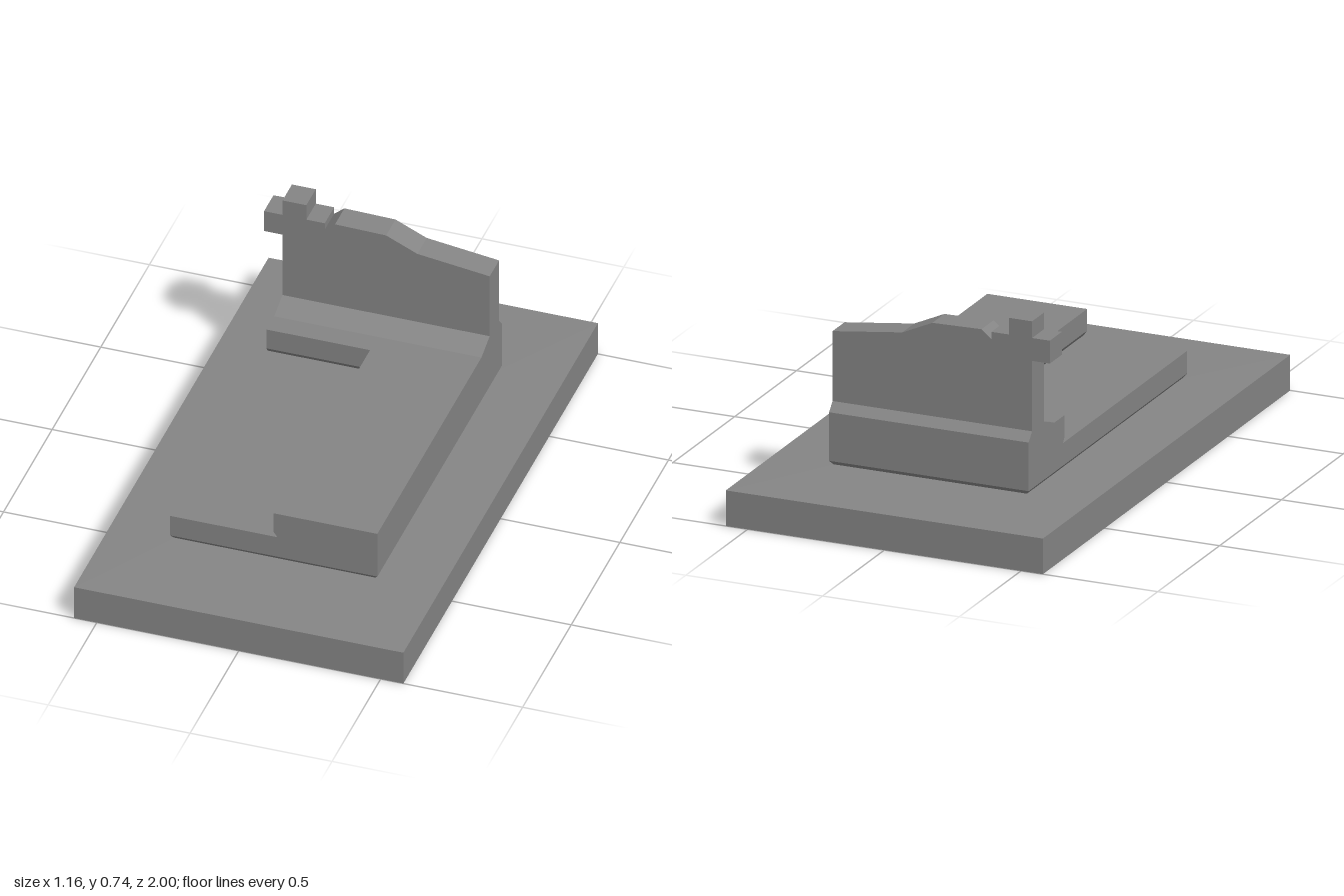
import * as THREE from 'three';

// Block lofted between two rectangles given as [x0, x1, z0, z1]
function loft(bottom, y0, top, y1) {
  const g = new THREE.BoxGeometry(1, 1, 1).toNonIndexed();
  const p = g.attributes.position;
  for (let i = 0; i < p.count; i++) {
    const up = p.getY(i) > 0;
    const r = up ? top : bottom;
    p.setXYZ(i, r[p.getX(i) > 0 ? 1 : 0], up ? y1 : y0, r[p.getZ(i) > 0 ? 3 : 2]);
  }
  g.computeVertexNormals();
  return g;
}

function extrude(points, depth) {
  const shape = new THREE.Shape(points.map(([a, b]) => new THREE.Vector2(a, b)));
  return new THREE.ExtrudeGeometry(shape, { depth, bevelEnabled: false });
}

// Side profile of [z, y] points, extruded from x0 to x1
function sideProfile(points, x0, x1) {
  return extrude(points.map(([z, y]) => [-z, y]), x1 - x0).rotateY(Math.PI / 2).translate(x0, 0, 0);
}

export function createModel() {
  const group = new THREE.Group();
  const stone = new THREE.MeshStandardMaterial({ color: 0x858585 });
  stone.name = 'grey stone';
  const add = (name, geometry) => {
    const mesh = new THREE.Mesh(geometry, stone);
    mesh.name = name;
    group.add(mesh);
  };

  // Ground slab with a barely raised top
  const slab = [-0.58, 0.58, -1, 1];
  add('groundSlab', loft(slab, 0, slab, 0.126));
  add('slabCrown', loft(slab, 0.126, [-0.355, 0.355, -0.63, 0.63], 0.131));

  // Plinth with an undercut foot; its top is the floor of the recess
  const plinth = [-0.365, 0.365, -0.64, 0.64];
  add('plinthFoot', loft([-0.353, 0.353, -0.628, 0.628], 0.13, plinth, 0.145));
  add('plinth', loft(plinth, 0.145, plinth, 0.225));

  // Undercut edge between the recess floor and the cover
  add('coverFoot', loft([0.013, 0.365, -0.64, 0.64], 0.225, [0, 0.365, -0.64, 0.64], 0.243));
  add('ledgeFoot', loft([-0.365, 0.013, -0.64, -0.363], 0.225, [-0.365, 0, -0.64, -0.35], 0.243));

  // L-shaped cover, sloping up to the headstone
  const back = [[-0.43, 0.32], [-0.515, 0.35], [-0.61, 0.35], [-0.64, 0.317], [-0.64, 0.243]];
  add('cover', sideProfile([[0.64, 0.243], [0.64, 0.32], ...back], 0, 0.365));
  add('ledge', sideProfile([[-0.35, 0.243], [-0.35, 0.32], ...back], -0.365, 0));

  // Headstone with a wavy crest and a cross at one corner
  add('headstone', extrude([
    [-0.365, 0.34], [0.365, 0.34], [0.365, 0.595], [0.11, 0.628], [0, 0.678], [-0.18, 0.682],
    [-0.216, 0.652], [-0.216, 0.678], [-0.281, 0.678], [-0.281, 0.737], [-0.365, 0.737],
    [-0.365, 0.678], [-0.43, 0.678], [-0.43, 0.597], [-0.365, 0.597],
  ], 0.097).translate(0, 0, -0.612));

  return group;
}
